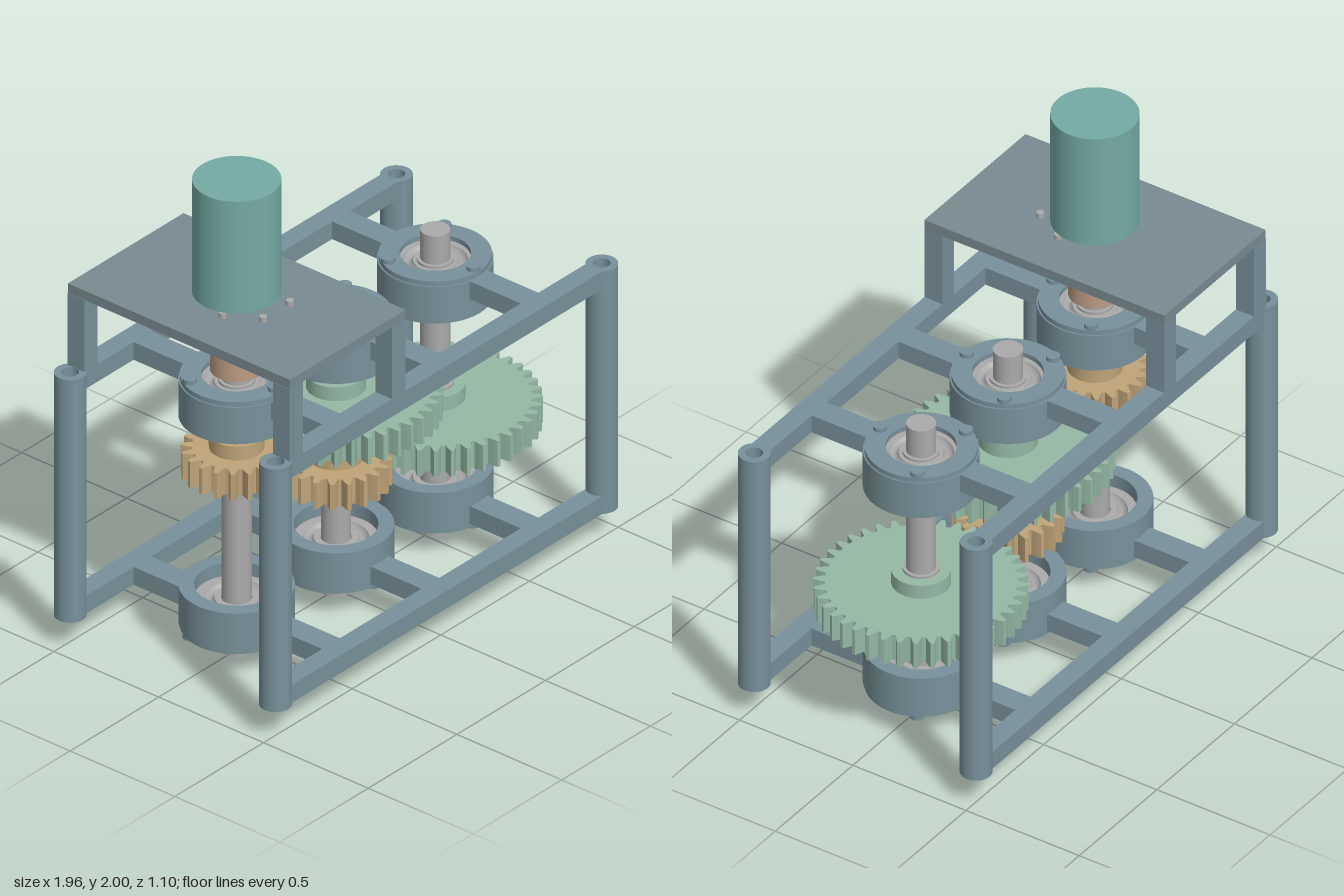
import * as THREE from 'three';

const mat = (color) => new THREE.MeshStandardMaterial({ color });
const FRAME = mat(0x78909a), PLATE = mat(0x788a92), STEEL = mat(0xaaaaaa), GREEN = mat(0x94b8a4);
const BRASS = mat(0xbfa478), COPPER = mat(0xbc9c84), TEAL = mat(0x74aaa4);
const SHAFT_R = 0.055, SPACING = 0.56, MODULE = SPACING / 30;

export function createModel() {
  const model = new THREE.Group();

  const add = (name, geometry, material, x, y, z, parent = model) => {
    const mesh = new THREE.Mesh(geometry, material);
    mesh.name = name;
    mesh.position.set(x, y, z);
    parent.add(mesh);
    return mesh;
  };
  // Box and cylinder placed by their bottom and top heights
  const box = (name, m, w, y0, y1, d, x, z, parent) =>
    add(name, new THREE.BoxGeometry(w, y1 - y0, d), m, x, (y0 + y1) / 2, z, parent);
  const cyl = (name, m, r, y0, y1, x, z, parent, sides = 40) =>
    add(name, new THREE.CylinderGeometry(r, r, y1 - y0, sides), m, x, (y0 + y1) / 2, z, parent);

  // Upright extrusion of a shape with a round hole
  const extrudeUp = (shape, hole, height, segments = 24) => {
    if (hole) shape.holes.push(new THREE.Path().absarc(0, 0, hole, 0, Math.PI * 2, true));
    const g = new THREE.ExtrudeGeometry(shape, { depth: height, bevelEnabled: false, curveSegments: segments });
    return g.rotateX(-Math.PI / 2);
  };
  const ring = (name, m, outer, inner, y0, y1, x, z, parent) => {
    // Closed rectangular profile with doubled corners for crisp edges
    const h = y1 - y0;
    const p = [[inner, 0], [outer, 0], [outer, 0], [outer, h], [outer, h], [inner, h], [inner, h], [inner, 0]];
    const g = new THREE.LatheGeometry(p.map(([a, b]) => new THREE.Vector2(a, b)), 48);
    return add(name, g, m, x, y0, z, parent);
  };

  // Corner posts: tubes with through holes
  for (const x of [-0.92, 0.92]) for (const z of [-0.49, 0.49])
    ring('cornerPost', FRAME, 0.06, 0.032, 0.125, 1.155, x, z);

  // Long rails and end connections of both frames
  for (const y of [0.125, 1.08]) for (const z of [-0.49, 0.49])
    box('sideRail', FRAME, 1.756, y, y + 0.075, 0.08, 0, z);

  // Bearing: outer race, recessed ball groove, inner race
  const bearingProfile = [
    [0.057, 0], [0.082, 0], [0.082, 0], [0.086, 0.014], [0.1, 0.02], [0.114, 0.014], [0.12, 0], [0.12, 0],
    [0.155, 0], [0.155, 0], [0.155, 0.09], [0.155, 0.09], [0.12, 0.09], [0.12, 0.09], [0.114, 0.076],
    [0.1, 0.07], [0.086, 0.076], [0.082, 0.09], [0.082, 0.09], [0.057, 0.09], [0.057, 0.09], [0.057, 0],
  ].map(([a, b]) => new THREE.Vector2(a, b));
  const bearingGeometry = new THREE.LatheGeometry(bearingProfile, 48);

  // One bearing station: housing, arms, bearing, retainer and its bolts, built with the retainer on top
  function bearingStation(name) {
    const g = new THREE.Group();
    g.name = name;
    ring('housing', FRAME, 0.213, 0.155, 0, 0.155, 0, 0, g);
    for (const s of [-1, 1]) box('crossArm', FRAME, 0.1, 0.08, 0.155, 0.26, 0, s * 0.33, g);
    add('bearing', bearingGeometry, STEEL, 0, 0.055, 0, g);
    ring('retainer', FRAME, 0.207, 0.13, 0.155, 0.175, 0, 0, g);
    ring('retainingRing', STEEL, 0.068, 0.05, 0.145, 0.155, 0, 0, g);
    for (let i = 0; i < 3; i++) {
      const a = Math.PI / 2 + i * Math.PI * 2 / 3;
      cyl('retainerBolt', FRAME, 0.026, 0.17, 0.192, Math.cos(a) * 0.182, Math.sin(a) * 0.182, g, 20);
    }
    return g;
  }
  for (const x of [-SPACING, 0, SPACING]) {
    const upper = bearingStation('upperBearingStation');
    upper.position.set(x, 1, 0);
    const lower = bearingStation('lowerBearingStation');
    // Turned over about the z axis so that the retainer faces down
    lower.rotation.z = Math.PI;
    lower.position.set(x, 0.28, 0);
    model.add(upper, lower);
  }

  // Shafts
  cyl('inputShaft', STEEL, SHAFT_R, 0, 1.275, -SPACING, 0);
  cyl('middleShaft', STEEL, SHAFT_R, 0, 1.275, 0, 0);
  cyl('outputShaft', STEEL, SHAFT_R, 0, 1.275, SPACING, 0);

  // Spur gear outline; phase is in tooth pitches
  function gearShape(teeth, phase) {
    const shape = new THREE.Shape();
    const pitch = Math.PI * 2 / teeth, pr = MODULE * teeth / 2;
    const root = pr - 1.2 * MODULE, tip = pr + MODULE;
    const profile = [[-0.36, root], [-0.29, pr - 0.6 * MODULE], [-0.23, pr], [-0.11, tip],
      [0.11, tip], [0.23, pr], [0.29, pr - 0.6 * MODULE], [0.36, root]];
    for (let i = 0; i < teeth; i++) for (const [t, r] of profile) {
      const a = (i + phase + t) * pitch, x = Math.cos(a) * r, y = Math.sin(a) * r;
      if (i === 0 && t === -0.36) shape.moveTo(x, y); else shape.lineTo(x, y);
    }
    shape.closePath();
    return shape;
  }
  // Gear with hub above and locating rings on both sides
  function gear(name, material, teeth, phase, hubR, x, y) {
    const g = new THREE.Group();
    g.name = name;
    g.position.set(x, y, 0);
    add('toothedWheel', extrudeUp(gearShape(teeth, phase), SHAFT_R, 0.11), material, 0, 0, 0, g);
    ring('hub', material, hubR, SHAFT_R, 0.11, 0.168, 0, 0, g);
    ring('lowerLocatingRing', STEEL, 0.068, 0.05, -0.01, 0, 0, 0, g);
    ring('upperLocatingRing', STEEL, 0.068, 0.05, 0.168, 0.178, 0, 0, g);
    model.add(g);
  }
  gear('inputPinion', BRASS, 20, 0, 0.102, -SPACING, 0.755);
  gear('middleWheel', GREEN, 40, 0.5, 0.11, 0, 0.755);
  gear('middlePinion', BRASS, 20, 0, 0.102, 0, 0.455);
  gear('outputWheel', GREEN, 40, 0.5, 0.11, SPACING, 0.455);

  // Motor mount: four legs and a plate
  for (const x of [-0.85, -0.272]) for (const z of [-0.49, 0.49])
    box('motorLeg', FRAME, 0.076, 1.155, 1.46, 0.08, x, z);
  box('motorPlate', PLATE, 0.652, 1.46, 1.5, 1.06, -SPACING, 0);

  // Motor, its shaft and the coupling to the input shaft
  cyl('motorBody', TEAL, 0.163, 1.525, 2, -SPACING, 0, model, 64);
  cyl('motorShaft', STEEL, 0.032, 1.42, 1.54, -SPACING, 0, model, 24);
  cyl('coupling', COPPER, 0.098, 1.195, 1.44, -SPACING, 0);

  // Motor bolts on a circle offset from the shaft
  for (let i = 0; i < 6; i++) {
    const a = i * Math.PI / 3;
    cyl('motorBolt', STEEL, 0.01, 1.44, 1.525, -SPACING + Math.cos(a) * 0.15, 0.06 + Math.sin(a) * 0.15, model, 16);
    cyl('motorBoltHead', STEEL, 0.022, 1.435, 1.46, -SPACING + Math.cos(a) * 0.15, 0.06 + Math.sin(a) * 0.15, model, 16);
    cyl('motorBoltNut', STEEL, 0.015, 1.505, 1.525, -SPACING + Math.cos(a) * 0.15, 0.06 + Math.sin(a) * 0.15, model, 16);
  }
  return model;
}
